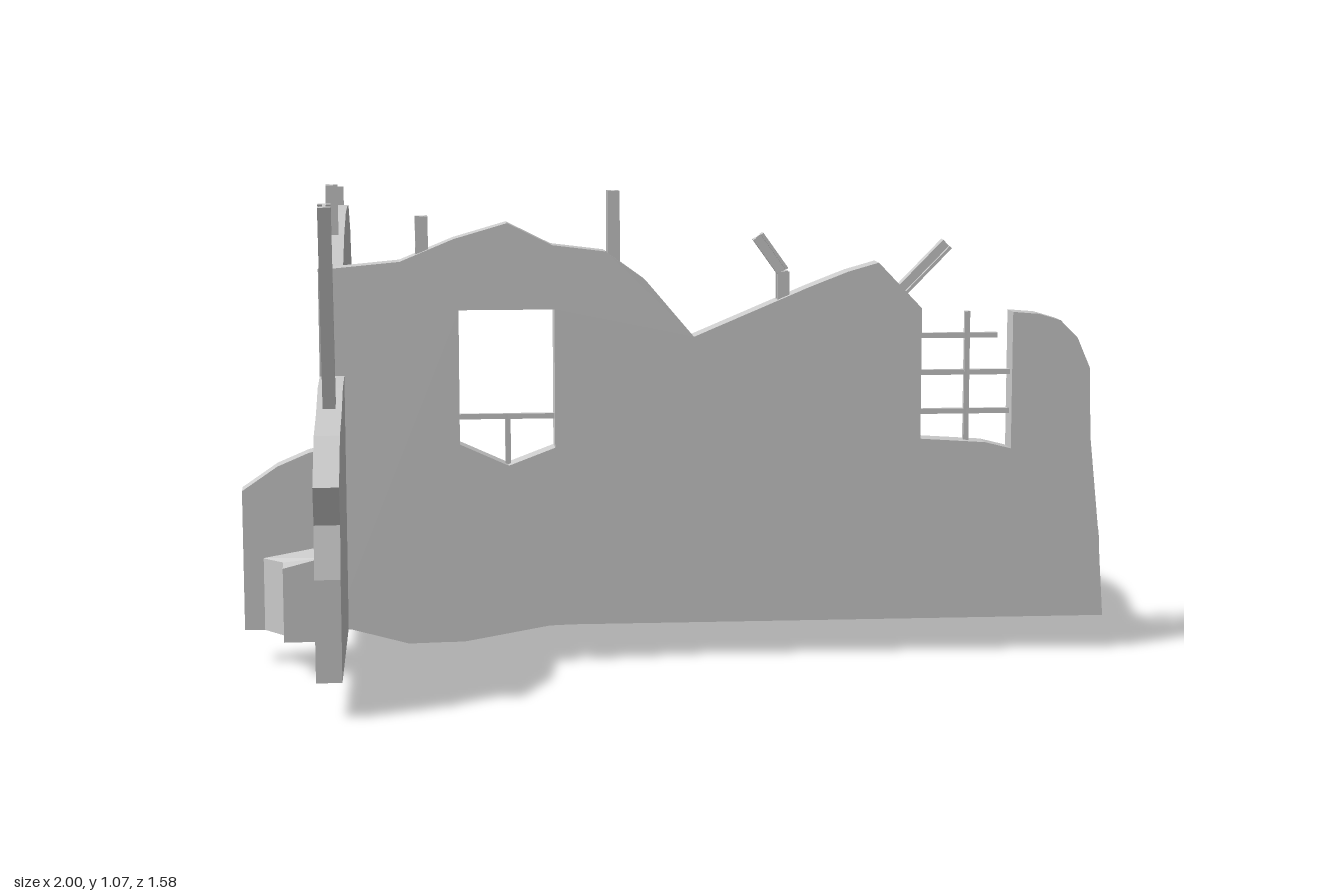
import * as THREE from 'three';
import { toCreasedNormals } from 'three/addons/utils/BufferGeometryUtils.js';

const material = new THREE.MeshStandardMaterial({ color: 0xcccccc });
const T = 0.055; // wall thickness

// The walls stand slightly askew: outer face of the front wall, inner face of the side wall
const frontZ = x => 0.316 + 0.0405 * x;
const sideX = z => -0.7575 - 0.032 * z;
const onFront = (x, y) => new THREE.Vector3(x, y, frontZ(x) - T / 2);
const onSide = (z, y) => new THREE.Vector3(sideX(z) - T / 2, y, z);

const toShape = pts => new THREE.Shape(pts.map(p => new THREE.Vector2(...p)));
const extrude = (shape, depth) => new THREE.ExtrudeGeometry(shape, { depth, bevelEnabled: false });

// Moves every vertex by a rule
function warp(geo, rule) {
  const p = geo.attributes.position;
  const v = new THREE.Vector3();
  for (let i = 0; i < p.count; i++) {
    v.fromBufferAttribute(p, i);
    rule(v);
    p.setXYZ(i, v.x, v.y, v.z);
  }
  geo.computeVertexNormals();
  return geo;
}

// Wall along x, outline in (x, y)
function frontWall(outline, hole) {
  const shape = toShape(outline);
  if (hole) shape.holes.push(toShape(hole));
  return warp(extrude(shape, T), v => { v.z += frontZ(v.x) - T; });
}

// Wall along z, outline in (z, y)
function sideWall(outline, hole) {
  const shape = toShape(outline);
  if (hole) shape.holes.push(toShape(hole));
  return warp(extrude(shape, T).rotateY(-Math.PI / 2), v => { v.x += sideX(v.z); });
}

// Cross-sections: I-beam and square bar
const iBeam = toShape([[-0.014, -0.014], [0.014, -0.014], [0.014, -0.007], [0.004, -0.007],
  [0.004, 0.007], [0.014, 0.007], [0.014, 0.014], [-0.014, 0.014], [-0.014, 0.007],
  [-0.004, 0.007], [-0.004, -0.007], [-0.014, -0.007]]);
const bar = toShape([[-0.006, -0.006], [0.006, -0.006], [0.006, 0.006], [-0.006, 0.006]]);

function strut(a, b, section) {
  const mesh = new THREE.Mesh(extrude(section, a.distanceTo(b)), material);
  mesh.position.copy(a);
  mesh.lookAt(b);
  return mesh;
}

// Broken floor slab: columns run from the front wall to the ragged back edge
function floorGeometry() {
  const edge = new THREE.SplineCurve([[-0.765, -0.535], [-0.61, -0.53], [-0.5, -0.555], [-0.38, -0.6],
    [-0.27, -0.615], [-0.08, -0.58], [0.05, -0.57], [0.27, -0.585], [0.37, -0.64], [0.48, -0.75],
    [0.59, -0.79], [0.69, -0.765], [0.8, -0.67], [0.89, -0.6], [0.99, -0.56]]
    .map(p => new THREE.Vector2(...p))).getPoints(42);
  const rows = 20, ring = 2 * (rows + 1);
  const hump = (x, z, cx, cz, rx, rz) => Math.exp(-(((x - cx) / rx) ** 2) - ((z - cz) / rz) ** 2);
  const step = THREE.MathUtils.smoothstep;
  const topY = (x, z) => 0.282 - 0.045 * hump(x, z, 1, 0.08, 0.2, 0.14)
    - 0.055 * step(-z, 0.2, 0.48) * step(x, 0.1, 0.75);
  const lowY = (x, z) => 0.08 - 0.04 * hump(x, z, -0.54, 0.24, 0.14, 0.2)
    - 0.045 * hump(x, z, -0.02, -0.09, 0.13, 0.12) - 0.08 * hump(x, z, 0.45, -0.7, 0.22, 0.25);
  const pos = [], idx = [];
  edge.forEach((e, i) => {
    const fx = THREE.MathUtils.mapLinear(e.x, -0.765, 0.99, -0.79, 0.96);
    const fz = frontZ(fx) - 0.003;
    const point = (j, low) => {
      const t = j / rows;
      const x = fx + (e.x - fx) * t;
      let z = fz + (e.y - fz) * t;
      let y = low ? lowY(x, z) : topY(x, z);
      if (low && j === rows) {
        const g = hump(x, z, 0.55, -0.75, 0.25, 0.2);
        y += 0.045 * g;
        z += 0.025 * g;
      }
      pos.push(x + (low ? 0.01 * (i / 42) : 0), Math.max(y, 0), z);
    };
    for (let j = 0; j <= rows; j++) point(j, false);
    for (let j = rows; j >= 0; j--) point(j, true);
  });
  const quad = (a, b, c, d) => idx.push(a, b, c, a, c, d);
  for (let i = 0; i < edge.length - 1; i++) for (let k = 0; k < ring; k++) {
    const a = i * ring + k, b = i * ring + (k + 1) % ring;
    quad(a, a + ring, b + ring, b);
  }
  const last = (edge.length - 1) * ring;
  for (let j = 0; j < rows; j++) { // end caps
    const k = ring - 1 - j;
    quad(j, j + 1, k - 1, k);
    quad(last + k, last + k - 1, last + j + 1, last + j);
  }
  const geo = new THREE.BufferGeometry();
  geo.setAttribute('position', new THREE.Float32BufferAttribute(pos, 3));
  geo.setIndex(idx);
  return toCreasedNormals(geo, 0.6);
}

export function createModel() {
  const model = new THREE.Group();
  const add = (name, geo) => {
    const mesh = new THREE.Mesh(geo, material);
    mesh.name = name;
    model.add(mesh);
  };

  add('floorSlab', floorGeometry());

  // Front wall with one whole window and one broken open at the top
  add('frontWall', frontWall([[-0.8, 0.08], [-0.77, 0.08], [-0.63, 0.042], [-0.5, 0.045], [-0.3, 0.08],
    [0.972, 0.08], [0.958, 0.28], [0.935, 0.5], [0.93, 0.66], [0.9, 0.73], [0.86, 0.77], [0.81, 0.785],
    [0.75, 0.79], [0.75, 0.475], [0.69, 0.49], [0.54, 0.5], [0.54, 0.8], [0.44, 0.905], [0.37, 0.885],
    [0.28, 0.85], [0.02, 0.74], [-0.09, 0.87], [-0.18, 0.935], [-0.3, 0.95], [-0.4, 1.0], [-0.52, 0.965],
    [-0.64, 0.915], [-0.8, 0.9]],
  [[-0.51, 0.5], [-0.4, 0.45], [-0.295, 0.49], [-0.295, 0.805], [-0.51, 0.805]]));

  // Side wall with an arched broken top
  add('sideWall', sideWall([[0.283, 0.08], [0.283, 0.9], [0.24, 0.9], [0.1, 0.965], [-0.05, 1.0], [-0.17, 1.005],
    [-0.29, 1.0], [-0.41, 0.93], [-0.47, 0.845], [-0.5, 0.7], [-0.53, 0.5], [-0.535, 0.08]],
  [[-0.05, 0.5], [-0.175, 0.45], [-0.295, 0.475], [-0.295, 0.805], [-0.05, 0.805]]));

  // Wall stubs running on past the corner
  add('frontStub', sideWall([[0.27, 0.08], [0.79, 0.08], [0.79, 0.3], [0.76, 0.41], [0.79, 0.495],
    [0.67, 0.585], [0.53, 0.61], [0.41, 0.65], [0.27, 0.66]]));
  add('wingStub', frontWall([[-1, 0.08], [-0.79, 0.08], [-0.79, 0.5], [-0.85, 0.485], [-0.92, 0.455], [-1, 0.4]]));

  // Low rubble block in the corner between the stubs
  const rubble = extrude(toShape([[-0.96, -0.27], [-0.91, -0.34], [-0.91, -0.41], [-0.82, -0.41], [-0.81, -0.27]]), 0.17);
  add('rubbleBlock', warp(rubble.rotateX(-Math.PI / 2), v => {
    v.y = v.y > 0.01 ? 0.245 + 0.25 * Math.max(0, v.x + 0.92) : 0.08;
  }));

  // Steel beams sticking out of the broken tops
  const beams = [
    [onFront(-0.59, 0.8), onFront(-0.59, 1.015)],
    [onFront(-0.16, 0.8), onFront(-0.16, 1.07)],
    [onFront(0.225, 0.72), onFront(0.225, 0.885), onFront(0.168, 0.965)],
    [onFront(0.42, 0.76), onFront(0.6, 0.945)],
    [onSide(0.095, 0.85), onSide(0.095, 1.075)],
    [onSide(-0.365, 0.82), onSide(-0.365, 1.04)],
    [onSide(0.475, 0.55), onSide(0.6, 1.065)],
  ];
  const steel = new THREE.Group();
  steel.name = 'steelBeams';
  for (const path of beams) for (let i = 1; i < path.length; i++) steel.add(strut(path[i - 1], path[i], iBeam));
  model.add(steel);

  // Window bars: [wall, start, end] in wall coordinates
  const bars = [
    [onFront, [-0.52, 0.56], [-0.285, 0.56]],
    [onFront, [-0.4, 0.44], [-0.4, 0.565]],
    [onFront, [0.65, 0.48], [0.65, 0.79]],
    [onSide, [-0.175, 0.44], [-0.175, 0.81]],
  ];
  for (const y of [0.56, 0.65, 0.735]) {
    bars.push([onFront, [0.53, y], [y > 0.7 ? 0.72 : 0.76, y]]);
    bars.push([onSide, [-0.3, y], [-0.04, y]]);
  }
  const grilles = new THREE.Group();
  grilles.name = 'windowBars';
  for (const [wall, a, b] of bars) grilles.add(strut(wall(...a), wall(...b), bar));
  model.add(grilles);

  return model;
}
